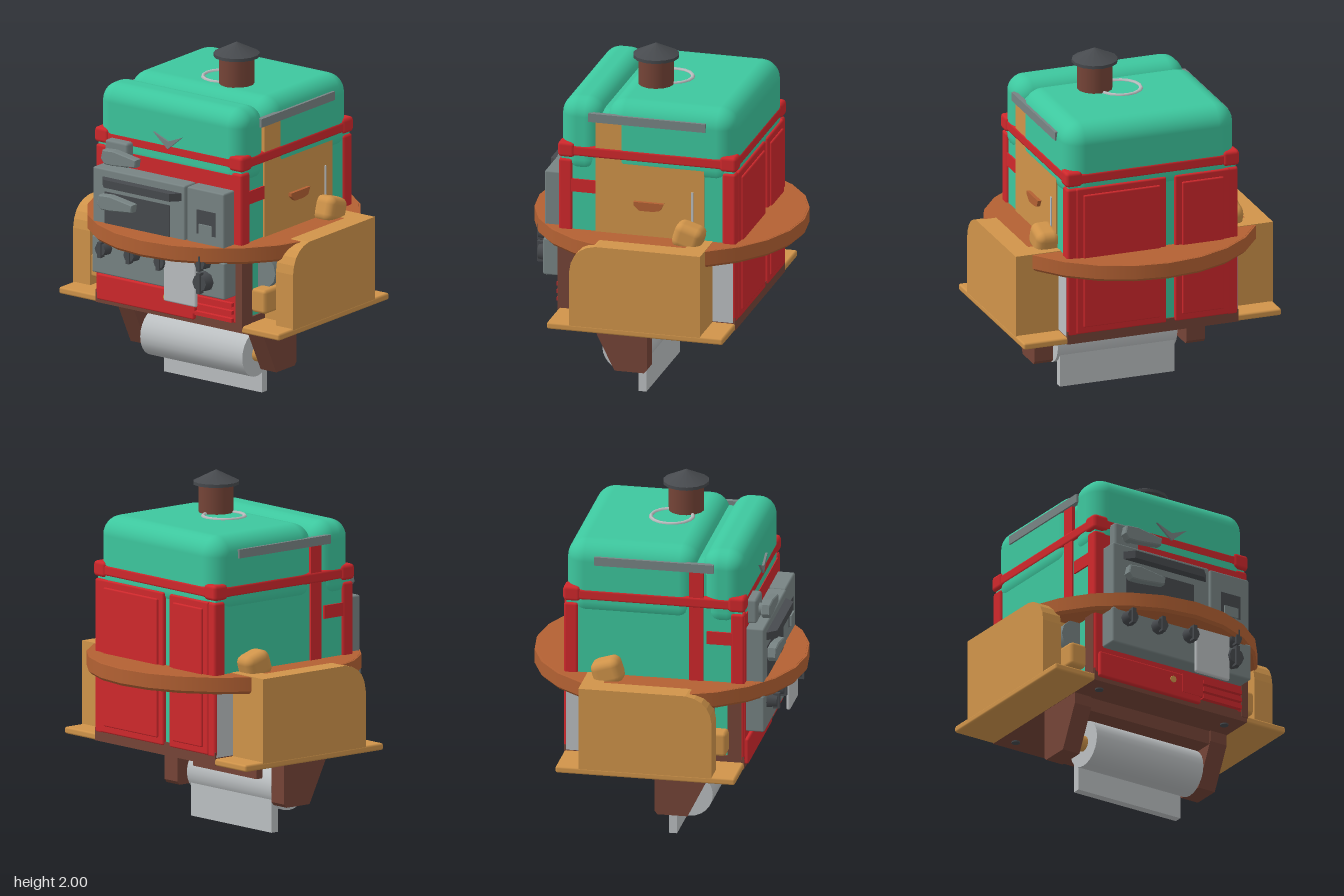
import * as THREE from 'three';
import { RoundedBoxGeometry } from 'three/addons/geometries/RoundedBoxGeometry.js';

const mat = (name, color) => {
  const m = new THREE.MeshStandardMaterial({ color });
  m.name = name;
  return m;
};

export function createModel() {
  const root = new THREE.Group();
  root.name = 'campKitchen';
  const teal = mat('teal', 0x3dc79e), red = mat('red', 0xd0282c), grey = mat('grey', 0x788484);
  const dark = mat('darkGrey', 0x474a4e), brown = mat('brown', 0x754437), wood = mat('wood', 0xb36133);
  const tan = mat('tan', 0xd0944a), pale = mat('paleGrey', 0xbcc0c2);

  const add = (name, geo, m, x = 0, y = 0, z = 0) => {
    const mesh = new THREE.Mesh(geo, m);
    mesh.name = name;
    mesh.position.set(x, y, z);
    root.add(mesh);
    return mesh;
  };
  // Box given by its limits on each axis; r rounds the edges
  const box = (name, m, x0, x1, y0, y1, z0, z1, r = 0, seg = 1) => {
    const s = [x1 - x0, y1 - y0, z1 - z0];
    const g = r ? new RoundedBoxGeometry(...s, seg, r) : new THREE.BoxGeometry(...s);
    return add(name, g, m, (x0 + x1) / 2, (y0 + y1) / 2, (z0 + z1) / 2);
  };
  // Outline in the z-y plane, extruded from x0 to x1
  const sideProfile = (name, m, shape, x0, x1) => {
    const g = new THREE.ExtrudeGeometry(shape, { depth: x1 - x0, bevelEnabled: false, curveSegments: 5 });
    g.rotateY(-Math.PI / 2);
    return add(name, g, m, x1, 0, 0);
  };
  const poly = pts => new THREE.Shape(pts.map(p => new THREE.Vector2(...p)));

  // Cabin core, base and rounded roof
  box('cabinCore', teal, -0.5, 0.5, 0.5, 1.46, -0.5, 0.5);
  box('basePlate', brown, -0.512, 0.512, 0.475, 0.55, -0.512, 0.512);
  box('roofRear', teal, -0.51, 0.51, 1.3, 1.76, -0.51, 0.25, 0.11, 4);
  box('roofFront', teal, -0.51, 0.51, 1.3, 1.755, 0.265, 0.512, 0.1, 4);
  box('roofJoint', teal, -0.48, 0.48, 1.3, 1.69, 0.15, 0.35, 0.08, 3);
  box('redBand', red, -0.514, 0.514, 1.42, 1.485, -0.514, 0.514, 0.015);
  for (const x of [-1, 1]) for (const z of [-1, 1]) {
    box('bandCorner', red, x * 0.47 - 0.05, x * 0.47 + 0.05, 1.41, 1.5, z * 0.47 - 0.05, z * 0.47 + 0.05, 0.02);
    box('cornerPost', red, x * 0.475 - 0.038, x * 0.475 + 0.038, 0.52, 1.4, z * 0.475 - 0.04, z * 0.475 + 0.04, 0.015);
  }

  // Front wall
  box('frontWall', red, -0.5, 0.5, 0.55, 1.385, 0.48, 0.515);
  box('frontLowerPanel', red, -0.49, 0.19, 0.5, 0.65, 0.5, 0.535, 0.01);
  box('frontLowerStep', red, 0.06, 0.2, 0.54, 0.65, 0.5, 0.538);
  for (const y of [0.545, 0.59, 0.635]) box('ventSlat', red, 0.2, 0.46, y - 0.011, y + 0.011, 0.5, 0.54);
  box('frontBrownPost', brown, 0.47, 0.516, 0.5, 0.9, 0.44, 0.518);
  add('panelStud', new THREE.CylinderGeometry(0.02, 0.02, 0.008, 8).rotateX(Math.PI / 2), tan, 0, 0.6, 0.537);

  // Rear doors
  for (const [a, b] of [[-0.08, 0.46], [-0.46, -0.13]]) {
    box('rearDoorFrame', red, a, b, 0.53, 1.4, -0.522, -0.49, 0.01);
    box('rearDoorPanel', red, a + 0.04, b - 0.04, 0.57, 1.36, -0.533, -0.5, 0.008);
  }

  // Side walls: rails, doors and trim
  for (const s of [-1, 1]) {
    const side = (name, m, x0, x1, ...rest) => box(name, m, Math.min(s * x0, s * x1), Math.max(s * x0, s * x1), ...rest);
    side('sideRail', grey, 0.49, 0.52, 1.635, 1.685, -0.34, 0.34);
    side('sideCrossbar', red, 0.49, 0.51, 1.21, 1.285, 0.3, 0.46);
    side('rearSidePlate', pale, 0.49, 0.514, 0.52, 0.89, -0.5, -0.36);
    side('frontSidePlate', brown, 0.49, 0.516, 0.52, 0.89, 0.42, 0.5);
    if (s > 0) {
      side('sideDoor', tan, 0.49, 0.509, 0.52, 1.635, -0.33, 0.3);
      side('doorRod', pale, 0.508, 0.516, 0.98, 1.27, -0.268, -0.256);
      const handle = poly([[-0.1, 1.19], [-0.08, 1.15], [-0.04, 1.14], [0.04, 1.14], [0.075, 1.17], [0.075, 1.19]]);
      sideProfile('doorHandle', wood, handle, 0.5, 0.53);
    } else side('sidePost', red, 0.49, 0.509, 0.98, 1.635, 0.2, 0.28);

    // Side lockers under the table
    const locker = new THREE.Shape();
    locker.moveTo(-0.38, 0.5);
    locker.lineTo(0.38, 0.5);
    locker.lineTo(0.38, 0.83);
    locker.quadraticCurveTo(0.37, 0.97, 0.23, 0.989);
    locker.lineTo(-0.38, 0.989);
    const [a, b] = s > 0 ? [0.65, 0.77] : [-0.77, -0.65];
    sideProfile('locker', tan, locker, a, b);
    side('lockerInner', tan, 0.5, 0.66, 0.5, 0.97, -0.38, 0.3);
    side('lockerRearTop', tan, 0.5, 0.66, 0.95, 0.989, -0.38, -0.26);
    side('lockerFloor', tan, 0.5, 0.772, 0.475, 0.515, -0.512, 0.512, 0.012);
    side('lockerLatch', tan, 0.51, 0.615, 0.58, 0.72, 0.28, 0.43, 0.02);
    const pipe = new THREE.CylinderGeometry(0.1, 0.1, 0.05, 12).rotateX(Math.PI / 2);
    add('lockerDial', pipe, grey, s * 0.52, 0.8, 0.32);
    const knob = side('lockerKnob', tan, 0.48, 0.62, 0.95, 1.1, -0.34, -0.17, 0.045, 2);
    knob.rotation.x = -0.3;
  }

  // Round table
  const table = new THREE.CylinderGeometry(0.77, 0.77, 0.08, 24);
  add('roundTable', table, wood, 0, 0.945, 0).material.flatShading = false;
  add('tableTop', new THREE.CylinderGeometry(0.76, 0.77, 0.012, 24), wood, 0, 0.98, 0);
  add('tableLip', new THREE.CylinderGeometry(0.77, 0.755, 0.016, 24), wood, 0, 0.897, 0);

  // Stove
  box('ovenBody', grey, -0.455, 0.19, 0.78, 1.3, 0.5, 0.615, 0.01);
  box('ovenSide', grey, 0.2, 0.46, 0.78, 1.3, 0.5, 0.61, 0.01);
  box('stoveBase', grey, -0.46, 0.47, 0.685, 0.9, 0.5, 0.618, 0.01);
  box('ovenWindow', dark, -0.37, 0.085, 0.98, 1.17, 0.612, 0.619);
  const shelf = poly([[-0.4, 0.6], [0.18, 0.6], [0.12, 0.668], [-0.34, 0.668]]);
  const shelfGeo = new THREE.ExtrudeGeometry(shelf, { depth: 0.045, bevelEnabled: false }).rotateX(Math.PI / 2);
  add('ovenHandle', shelfGeo, dark, 0, 1.255, 0);
  box('sideSlot', dark, 0.27, 0.4, 1.04, 1.18, 0.606, 0.613);
  box('slotTray', grey, 0.29, 0.38, 1.04, 1.1, 0.605, 0.622);

  // Tapered lever handles on the front
  const lever = (y, z) => {
    const s = poly([[-0.38, -0.01], [-0.36, -0.035], [-0.3, -0.035], [-0.15, -0.02], [-0.145, 0.015], [-0.3, 0.04], [-0.37, 0.035]]);
    add('lever', new THREE.ExtrudeGeometry(s, { depth: 0.04, bevelEnabled: true, bevelSize: 0.006, bevelThickness: 0.006, bevelSegments: 1 }), grey, 0, y, z);
  };
  box('latchBlock', grey, -0.41, -0.25, 1.31, 1.455, 0.5, 0.565, 0.015);
  add('latchPivot', new THREE.CylinderGeometry(0.035, 0.035, 0.08, 10).rotateX(Math.PI / 2), grey, -0.33, 1.375, 0.57);
  lever(1.375, 0.59);
  lever(1.12, 0.625);

  // Stove knobs and hanging cloth
  for (const [x, y, r] of [[-0.36, 0.845, 0.045], [-0.16, 0.845, 0.045], [0.05, 0.845, 0.045], [0.335, 0.89, 0.045], [0.335, 0.775, 0.06]]) {
    add('stoveKnob', new THREE.CylinderGeometry(r * 0.8, r, 0.06, 8).rotateX(Math.PI / 2), dark, x, y, 0.645);
    box('knobGrip', dark, x - 0.012, x + 0.012, y - r, y + r, 0.65, 0.687);
  }
  box('cloth', pale, 0.07, 0.3, 0.62, 0.92, 0.635, 0.66, 0.012);

  // Front chevron ornament
  const chevron = poly([[-0.1, 0.04], [0, -0.045], [0.1, 0.04], [0.04, 0.015], [0, 0], [-0.04, 0.015]]);
  add('chevronTrim', new THREE.ExtrudeGeometry(chevron, { depth: 0.02, bevelEnabled: false }), grey, 0, 1.505, 0.505);

  // Chimney and roof ring
  add('chimney', new THREE.CylinderGeometry(0.1, 0.1, 0.24, 14), brown, 0.13, 1.81, 0.055);
  add('chimneyCapRim', new THREE.CylinderGeometry(0.13, 0.13, 0.018, 14), dark, 0.13, 1.927, 0.055);
  add('chimneyCap', new THREE.ConeGeometry(0.13, 0.065, 14), dark, 0.13, 1.968, 0.055);
  add('roofRing', new THREE.TorusGeometry(0.118, 0.012, 5, 16).rotateX(Math.PI / 2), pale, 0, 1.76, 0);

  // Roll holder underneath
  const leg = poly([[0.31, 0.49], [0.31, 0.41], [0.19, 0.17], [0.02, 0.17], [0.002, 0.19], [0.002, 0.49]]);
  for (const x of [-0.51, 0.4]) sideProfile('rollBracket', brown, leg, x, x + 0.11);
  box('rollBeam', brown, -0.45, 0.45, 0.395, 0.48, 0.1, 0.3);
  box('rollBackBoard', brown, -0.27, 0.27, 0.3, 0.48, 0.005, 0.05);
  add('rollAxle', new THREE.CylinderGeometry(0.045, 0.045, 0.82, 12).rotateZ(Math.PI / 2), tan, 0, 0.25, 0.17);
  add('paperRoll', new THREE.CylinderGeometry(0.134, 0.134, 0.715, 24).rotateZ(Math.PI / 2), pale, 0, 0.25, 0.17);
  box('paperSheet', pale, -0.345, 0.34, 0, 0.25, 0.052, 0.098);

  // Small fittings behind the roll holder
  [[0.15, grey], [0.02, tan], [-0.11, wood]].forEach(([x, m]) =>
    box('underFitting', m, x - 0.05, x + 0.05, 0.35, 0.48, -0.09, 0.01, 0.02, 2));
  for (const z of [-0.13, -0.18]) box('underRail', dark, -0.1, 0.1, 0.445, 0.465, z - 0.012, z + 0.012);
  for (const x of [-0.07, 0.07]) box('underRailPost', dark, x - 0.012, x + 0.012, 0.445, 0.48, -0.19, -0.12);
  for (const x of [-0.42, 0.42]) for (const z of [-0.42, 0.42]) add('baseBolt', new THREE.CylinderGeometry(0.025, 0.025, 0.01, 8), dark, x, 0.472, z);
  return root;
}
